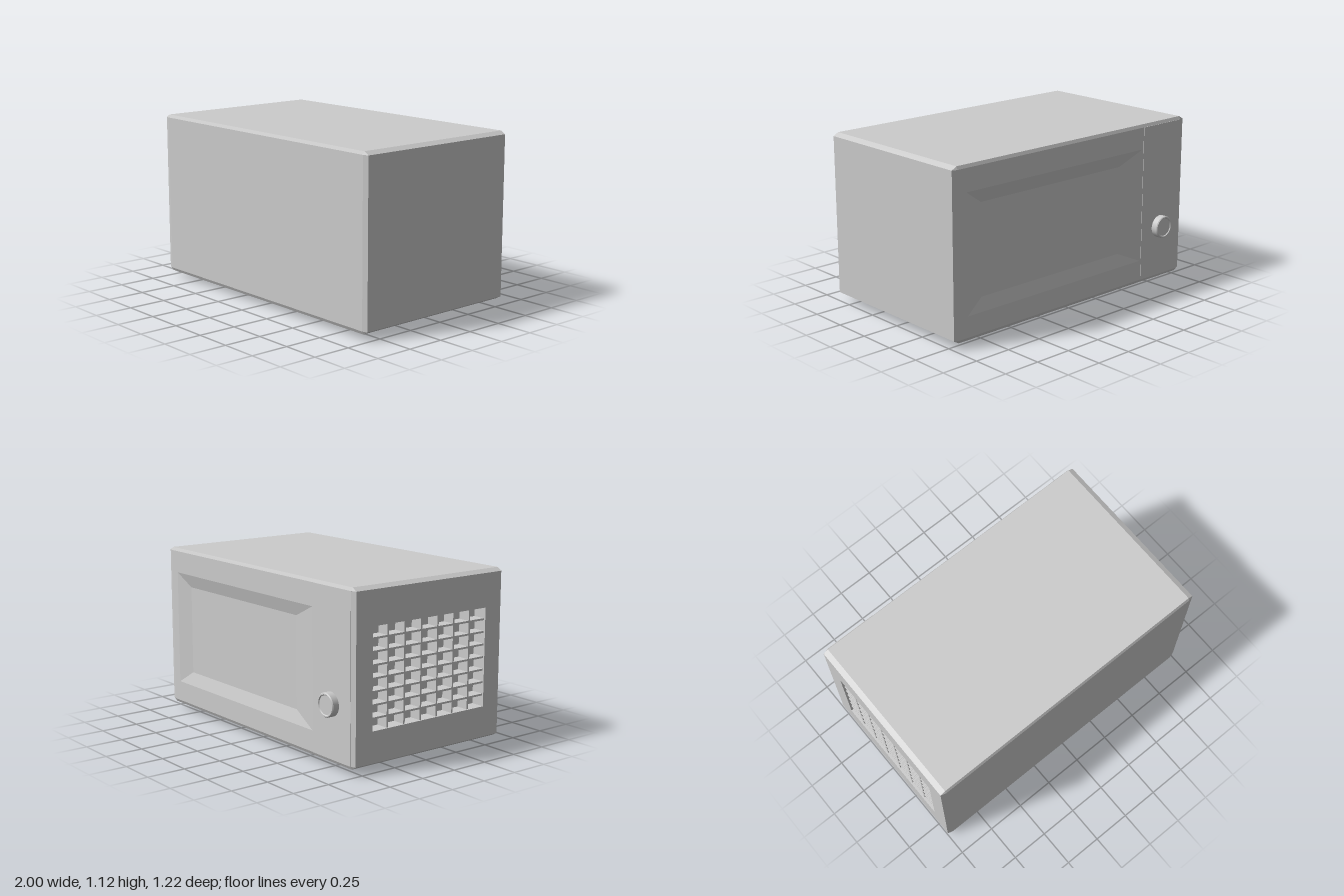
import * as THREE from 'three';
import { ConvexGeometry } from 'three/addons/geometries/ConvexGeometry.js';

const material = new THREE.MeshStandardMaterial({ color: 0xcccccc, flatShading: true });
const smooth = new THREE.MeshStandardMaterial({ color: 0xcccccc });

// body extents and chamfer sizes
const X = 1, Y0 = 0.04, Y1 = 1.12, Z0 = -0.56, Z1 = 0.61;
const BX = 0.035, BY = 0.02, BZ = 0.01;

function add(parent, name, geometry, x = 0, y = 0, z = 0, mat = material) {
  const mesh = new THREE.Mesh(geometry, mat);
  mesh.name = name;
  mesh.position.set(x, y, z);
  parent.add(mesh);
  return mesh;
}

// corners of a rectangle, counter-clockwise
const rect = (u0, v0, u1, v1) => [[u0, v0], [u1, v0], [u1, v1], [u0, v1]].map(p => new THREE.Vector2(...p));

function panelWithHole(outer, hole) {
  const shape = new THREE.Shape(outer);
  shape.holes.push(new THREE.Path(hole));
  return new THREE.ShapeGeometry(shape);
}

// chamfered box, left open on its -x and -z faces
function chamferedShell() {
  const points = [];
  const cy = (Y0 + Y1) / 2, hy = (Y1 - Y0) / 2, cz = (Z0 + Z1) / 2, hz = (Z1 - Z0) / 2;
  for (const sx of [-1, 1]) for (const sy of [-1, 1]) for (const sz of [-1, 1]) {
    for (let full = 0; full < 3; full++) {
      points.push(new THREE.Vector3(
        sx * (X - (full === 0 ? 0 : BX)),
        cy + sy * (hy - (full === 1 ? 0 : BY)),
        cz + sz * (hz - (full === 2 ? 0 : BZ))));
    }
  }
  const hull = new ConvexGeometry(points);
  const p = hull.attributes.position, n = hull.attributes.normal, kept = [];
  for (let i = 0; i < p.count; i += 3) {
    if (n.getX(i) < -0.999 || n.getZ(i) < -0.999) continue;
    for (let j = i; j < i + 3; j++) kept.push(p.getX(j), p.getY(j), p.getZ(j));
  }
  const geometry = new THREE.BufferGeometry();
  geometry.setAttribute('position', new THREE.Float32BufferAttribute(kept, 3));
  geometry.computeVertexNormals();
  return geometry;
}

// sloping walls and floor of a shallow recess
function recess(outer, inner, depth) {
  const pos = [...outer.flatMap(p => [p.x, p.y, 0]), ...inner.flatMap(p => [p.x, p.y, -depth])];
  const index = [4, 5, 6, 4, 6, 7];
  for (let i = 0; i < 4; i++) {
    const j = (i + 1) % 4;
    index.push(i, j, 4 + j, i, 4 + j, 4 + i);
  }
  const geometry = new THREE.BufferGeometry();
  geometry.setAttribute('position', new THREE.Float32BufferAttribute(pos, 3));
  geometry.setIndex(index);
  const flat = geometry.toNonIndexed();
  flat.computeVertexNormals();
  return flat;
}

export function createModel() {
  const model = new THREE.Group();
  model.name = 'microwaveOven';
  add(model, 'bodyShell', chamferedShell());

  // door side faces -z
  const window = rect(-0.9, 0.195, 0.6, 0.955);
  const door = new THREE.Group();
  door.name = 'door';
  door.position.z = Z0;
  door.rotation.y = Math.PI;
  model.add(door);
  add(door, 'doorFrame', panelWithHole(rect(-X + BX, Y0 + BY, X - BX, Y1 - BY), window));
  add(door, 'doorWindow', recess(window, rect(-0.77, 0.28, 0.41, 0.868), 0.025));

  // control panel stands slightly proud of the door
  const panelWidth = 0.355;
  add(model, 'controlPanel', new THREE.BoxGeometry(panelWidth, Y1 - Y0 - 2 * BY, 0.004),
    -0.61 - panelWidth / 2, (Y0 + Y1) / 2, Z0 - 0.001);

  // dial with a rounded rim and a dished face
  const profile = [[0.075, 0], [0.075, 0], [0.075, 0.044], [0.075, 0.044], [0.07, 0.05], [0.07, 0.05],
    [0.063, 0.05], [0.063, 0.05], [0.059, 0.044], [0.059, 0.044], [0, 0.044]].map(p => new THREE.Vector2(...p));
  const dialParts = new THREE.Group();
  dialParts.name = 'dial';
  dialParts.position.set(-0.785, 0.4, Z0);
  dialParts.rotation.x = -Math.PI / 2;
  model.add(dialParts);
  // each profile segment is separate so its edges stay sharp
  for (let i = 1; i < profile.length; i += 2) {
    add(dialParts, 'dialRing', new THREE.LatheGeometry([profile[i], profile[i + 1] ?? profile[i]], 32), 0, 0, 0, smooth);
  }
  for (const i of [3, 7]) {
    add(dialParts, 'dialBevel', new THREE.LatheGeometry([profile[i], profile[i + 1]], 32), 0, 0, 0, smooth);
  }

  // side wall with the vent opening, facing -x
  const va = -0.43, vb = 0.48, vy0 = 0.25, vy1 = 0.89, depth = 0.1;
  const side = add(model, 'ventSide',
    panelWithHole(rect(Z0 + BZ, Y0 + BY, Z1 - BZ, Y1 - BY), rect(va, vy0, vb, vy1)), -X);
  side.rotation.y = -Math.PI / 2;

  // vent lattice
  const vent = new THREE.Group();
  vent.name = 'vent';
  model.add(vent);
  const midY = (vy0 + vy1) / 2, midZ = (va + vb) / 2, h = vy1 - vy0, w = vb - va, bar = 0.012;
  add(vent, 'ventBack', new THREE.BoxGeometry(0.01, h + 0.02, w + 0.02), -X + depth, midY, midZ);
  const columns = 7, rows = 8;
  for (let i = 0; i <= columns; i++) {
    const edge = i % columns === 0 ? 0.001 : 0.012;
    add(vent, 'ventUpright', new THREE.BoxGeometry(depth - edge, h, bar),
      -X + (depth + edge) / 2, midY, va + w * i / columns);
  }
  for (let i = 0; i <= rows; i++) {
    const edge = i % rows === 0 ? 0.001 : 0.012;
    add(vent, 'ventSlat', new THREE.BoxGeometry(depth - edge, bar, w),
      -X + (depth + edge) / 2, vy0 + h * i / rows, midZ);
  }

  // wedge feet, mirrored left and right
  const foot = [[0.585, 0.045], [0.63, 0.002], [0.66, 0], [0.73, 0.006], [0.88, 0.045]];
  for (const s of [-1, 1]) {
    const shape = new THREE.Shape(foot.map(([x, y]) => new THREE.Vector2(s * x, y)));
    for (const z of [0.395, -0.33]) {
      add(model, 'foot', new THREE.ExtrudeGeometry(shape, { depth: 0.11, bevelEnabled: false }), 0, 0, z);
    }
  }
  return model;
}
